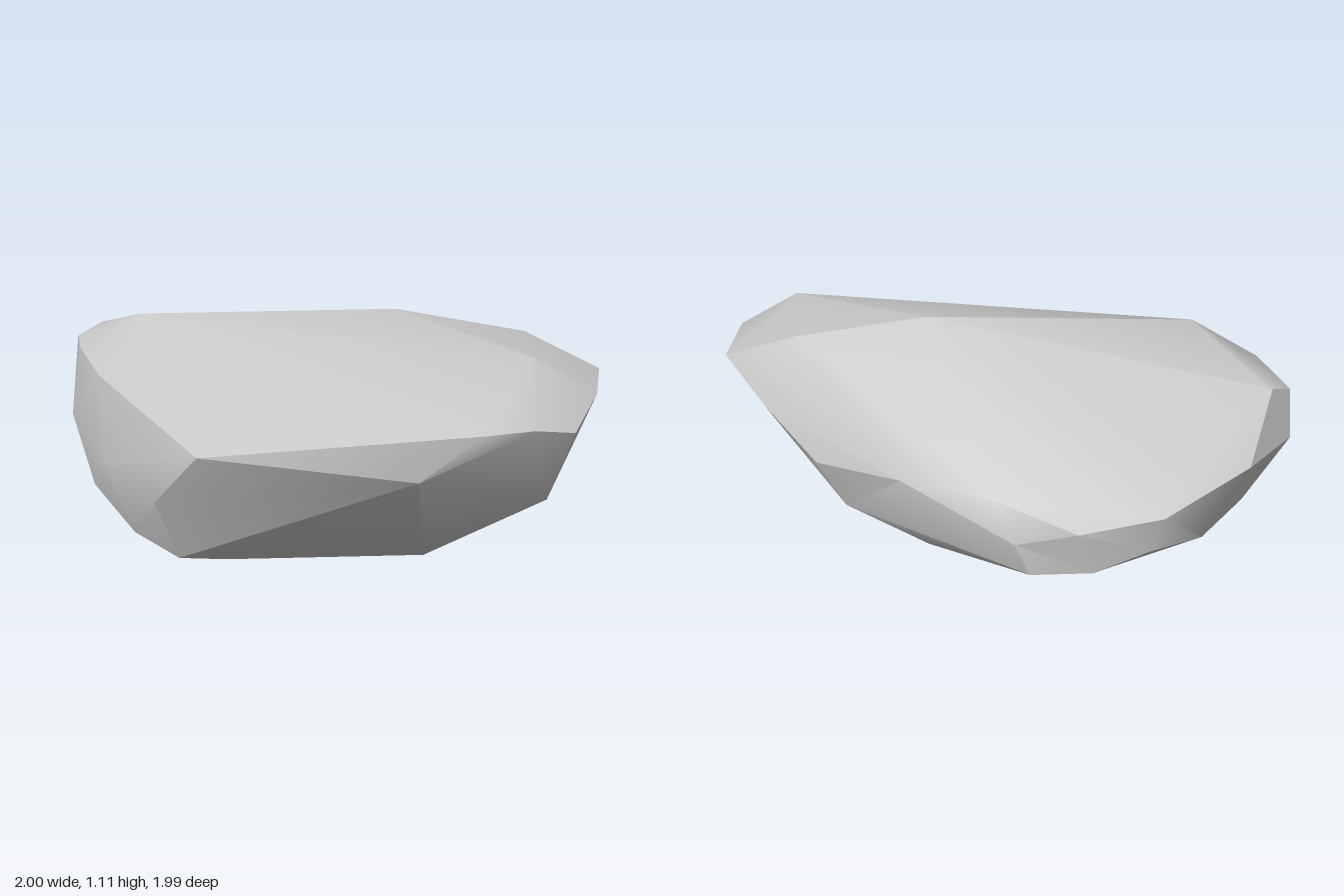
import * as THREE from 'three';
import { ConvexGeometry } from 'three/addons/geometries/ConvexGeometry.js';
import { toCreasedNormals } from 'three/addons/utils/BufferGeometryUtils.js';

// Skin a cloud of corners, hollows included: join them up as they lie on a
// rounded version of the rock, then put every corner back in its own place.
function skin(corners) {
  const centre = new THREE.Vector3(0, 0.52, 0);
  const radii = new THREE.Vector3(1.2, 0.55, 0.72);
  const up = new THREE.Vector3(0, 1, 0);
  const rounded = corners.map((p) => {
    const d = p.clone().sub(centre).applyAxisAngle(up, Math.PI / 4).divide(radii);
    return d.setLength(Math.pow(d.length(), 0.25));
  });
  const geometry = new ConvexGeometry(rounded);
  const position = geometry.attributes.position;
  const v = new THREE.Vector3();
  for (let i = 0; i < position.count; i++) {
    v.fromBufferAttribute(position, i);
    const k = rounded.findIndex((r) => r.distanceToSquared(v) < 1e-8);
    position.setXYZ(i, ...corners[k].toArray());
  }
  return geometry;
}

export function createModel() {
  const model = new THREE.Group();
  model.name = 'rock';

  const stone = new THREE.MeshStandardMaterial({ color: 0xc4c4c4 });
  stone.name = 'grey stone';

  // Corners of the boulder, grouped by the side they shape
  const crown = [
    [0.28, 1.11, 0.12], [0.76, 1.03, 0.38], [0.6, 1.02, 0.74],
    [-0.71, 1.06, -0.4], [-0.79, 0.93, -0.84],
  ];
  const frontRim = [
    [1, 0.9, 0.6], [0.83, 0.88, 0.85], [0.65, 0.78, 0.99], [0.47, 0.81, 0.99],
    [0.28, 0.8, 0.95], [0.05, 0.61, 0.86], [-0.7, 0.66, 0.41],
    [-0.83, 0.42, 0.22], [0.62, 0.46, 0.86],
  ];
  const leftFace = [
    [0.93, 0.74, 0.37], [0.83, 0.58, 0.1], [0.61, 0.62, -0.24], [0.35, 0.62, -0.55],
    [0.33, 0.47, -0.67], [0.28, 0.32, -0.71], [0.22, 0.21, -0.52],
    [0.44, 0.14, -0.14], [0.73, 0.34, 0.06],
  ];
  const backFace = [
    [0.14, 0.56, -0.84], [-0.17, 0.61, -0.98], [-0.57, 0.72, -1], [0.07, 0.34, -0.85],
    [-0.12, 0.46, -0.97], [-0.4, 0.4, -0.95], [-0.68, 0.42, -0.86], [-0.87, 0.7, -0.9],
  ];
  const rightFace = [
    [-0.91, 0.88, -0.82], [-0.95, 0.89, -0.56], [-0.94, 0.85, -0.23],
    [-1, 0.58, -0.58], [-0.97, 0.5, -0.07], [-0.97, 0.33, -0.31], [-0.86, 0.19, -0.04],
  ];
  const base = [
    [0.34, 0, 0.07], [0.32, 0.06, 0.37], [-0.12, 0.04, 0.13], [-0.5, 0.07, 0.12],
    [-0.72, 0.13, 0.16], [-0.66, 0.1, -0.3], [-0.15, 0.08, -0.58],
  ];

  const corners = [crown, frontRim, leftFace, backFace, rightFace, base]
    .flat().map((p) => new THREE.Vector3(...p));

  // Soft across shallow bends, sharp at hard breaks
  const boulder = new THREE.Mesh(toCreasedNormals(skin(corners), THREE.MathUtils.degToRad(32)), stone);
  boulder.name = 'boulder';
  model.add(boulder);
  return model;
}
